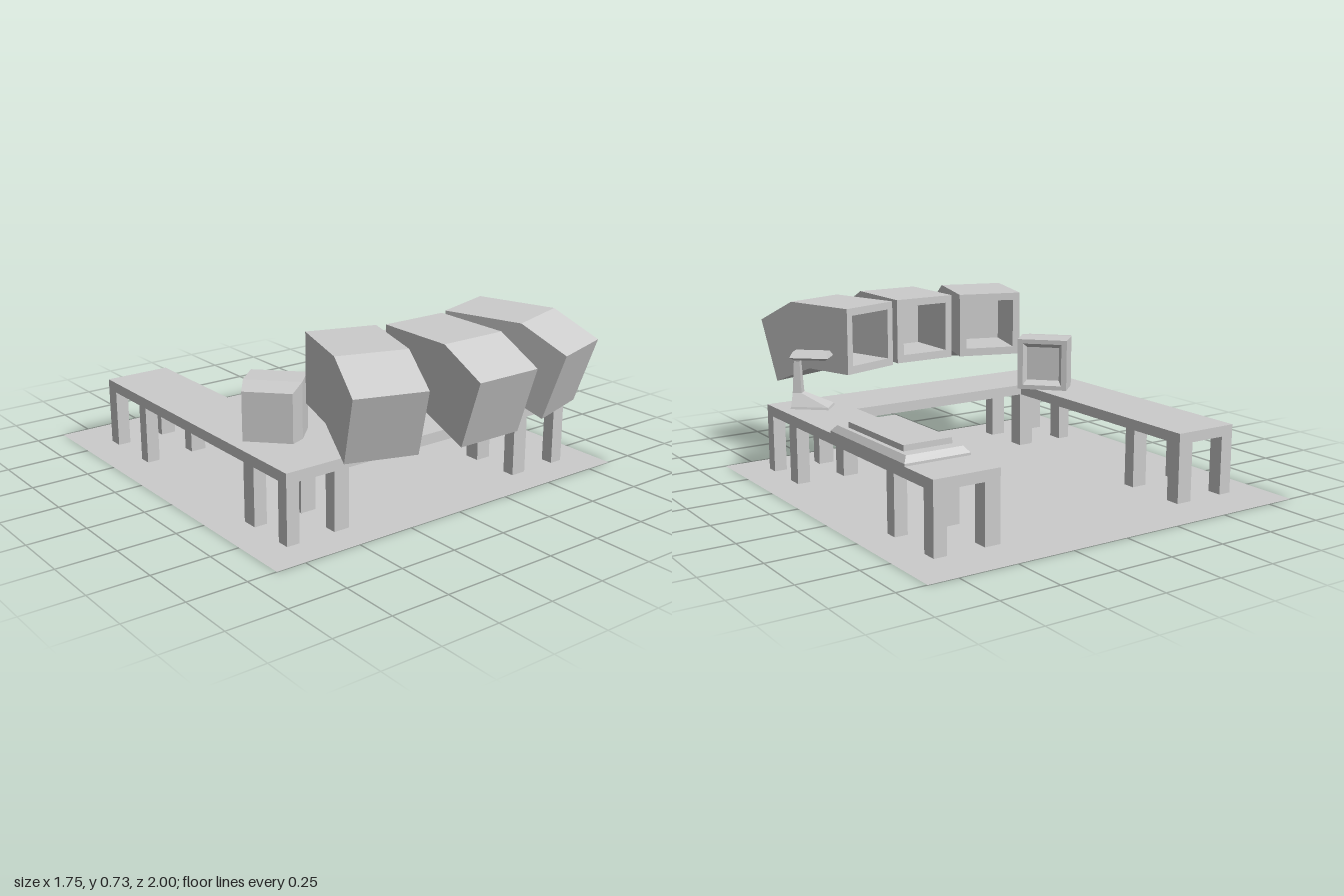
import * as THREE from 'three';

const material = new THREE.MeshStandardMaterial({ color: 0xcccccc, flatShading: true, side: THREE.DoubleSide });

// Four-cornered cross-sections, counter-clockwise as seen from the +y or +z end
const ringY = (y, w, d, x = 0, z = 0) => [
  [x - w / 2, y, z + d / 2], [x + w / 2, y, z + d / 2], [x + w / 2, y, z - d / 2], [x - w / 2, y, z - d / 2]];
const ringZ = (zBottom, zTop, w, y0, y1) => [
  [-w / 2, y0, zBottom], [w / 2, y0, zBottom], [w / 2, y1, zTop], [-w / 2, y1, zTop]];

// Skin a row of cross-sections and close both ends
function loft(rings) {
  const pos = [];
  const quad = (a, b, c, d) => pos.push(...a, ...b, ...c, ...a, ...c, ...d);
  const first = rings[0], last = rings[rings.length - 1];
  quad(first[3], first[2], first[1], first[0]);
  quad(...last);
  for (let i = 0; i < rings.length - 1; i++) {
    for (let j = 0; j < 4; j++) {
      const k = (j + 1) % 4;
      quad(rings[i][j], rings[i][k], rings[i + 1][k], rings[i + 1][j]);
    }
  }
  const geometry = new THREE.BufferGeometry();
  geometry.setAttribute('position', new THREE.Float32BufferAttribute(pos, 3));
  geometry.computeVertexNormals();
  return geometry;
}

export function createModel() {
  const model = new THREE.Group();
  const add = (name, geometry, x = 0, y = 0, z = 0, turn = 0) => {
    const mesh = new THREE.Mesh(geometry, material);
    mesh.name = name;
    mesh.position.set(x, y, z);
    mesh.rotation.y = turn;
    model.add(mesh);
    return mesh;
  };
  const deskTop = 0.295;

  // Floor sheet
  add('floor', new THREE.PlaneGeometry(1.75, 1.75).rotateX(-Math.PI / 2), 0, 0, -0.125);

  // U-shaped desk top
  const outline = new THREE.Shape([
    [-0.73, -0.795], [-0.44, -0.795], [-0.44, 0.31], [0.435, 0.31],
    [0.435, -0.795], [0.725, -0.795], [0.725, 0.605], [-0.73, 0.605],
  ].map(([x, z]) => new THREE.Vector2(x, z)));
  const slab = new THREE.ExtrudeGeometry(outline, { depth: 0.045, bevelEnabled: false });
  add('deskTop', slab.rotateX(Math.PI / 2), 0, deskTop, 0);

  // Desk legs: [start, end] along x and z
  const legX = [[-0.73, -0.673], [-0.51, -0.44], [0.435, 0.505], [0.668, 0.725]];
  const legZ = [[0.55, 0.605], [0.315, 0.385], [-0.515, -0.46], [-0.795, -0.73]];
  for (const [x0, x1] of legX) {
    for (const [z0, z1] of legZ) {
      add('deskLeg', new THREE.BoxGeometry(x1 - x0, 0.25, z1 - z0), (x0 + x1) / 2, 0.125, (z0 + z1) / 2);
    }
  }

  // Three hanging monitors, open towards the seat
  const monitor = loft([
    ringZ(0.25, 0.25, 0.225, 0.475, 0.697),
    ringZ(0, 0, 0.225, 0.475, 0.697),
    ringZ(0, 0, 0.29, 0.44, 0.73),
    ringZ(0.24, 0.345, 0.29, 0.44, 0.73),
    ringZ(0.453, 0.545, 0.29, 0.355, 0.63),
  ]);
  add('centreMonitor', monitor, 0, 0, 0.455);
  for (const side of [1, -1]) {
    add(side > 0 ? 'leftMonitor' : 'rightMonitor', monitor, side * 0.3175, 0, 0.3925, side * 0.314);
  }

  // Small desk monitor with a recessed screen
  add('deskMonitor', loft([
    ringZ(0.03, 0.03, 0.15, 0.335, 0.49),
    ringZ(0, 0, 0.18, 0.315, 0.51),
    ringZ(0, 0, 0.23, deskTop, 0.53),
    ringZ(0.13, 0.13, 0.235, deskTop, 0.53),
    ringZ(0.237, 0.237, 0.2, 0.312, 0.515),
  ]), -0.46, 0, 0.172, -0.8);

  // Control panel with bevelled rim and raised key block
  add('panelBase', loft([
    ringY(deskTop, 0.29, 0.59),
    ringY(0.305, 0.29, 0.59),
    ringY(0.33, 0.25, 0.545),
  ]), 0.58, 0, -0.3);
  add('panelKeys', new THREE.BoxGeometry(0.215, 0.025, 0.435), 0.578, 0.3415, -0.303);

  // Desk stand: flared foot, offset post and flat head
  const off = 0.062;
  add('stand', loft([
    ringY(deskTop, 0.17, 0.11),
    ringY(0.305, 0.165, 0.105),
    ringY(0.36, 0.04, 0.045, off),
    ringY(0.5, 0.025, 0.03, off),
    ringY(0.515, 0.04, 0.04, off),
  ]), 0.58, 0, 0.45, -0.72);
  add('standHead', loft([
    ringY(0.508, 0.14, 0.06),
    ringY(0.52, 0.17, 0.1),
    ringY(0.543, 0.15, 0.06),
  ]), 0.58, 0, 0.45, -0.72);

  return model;
}
